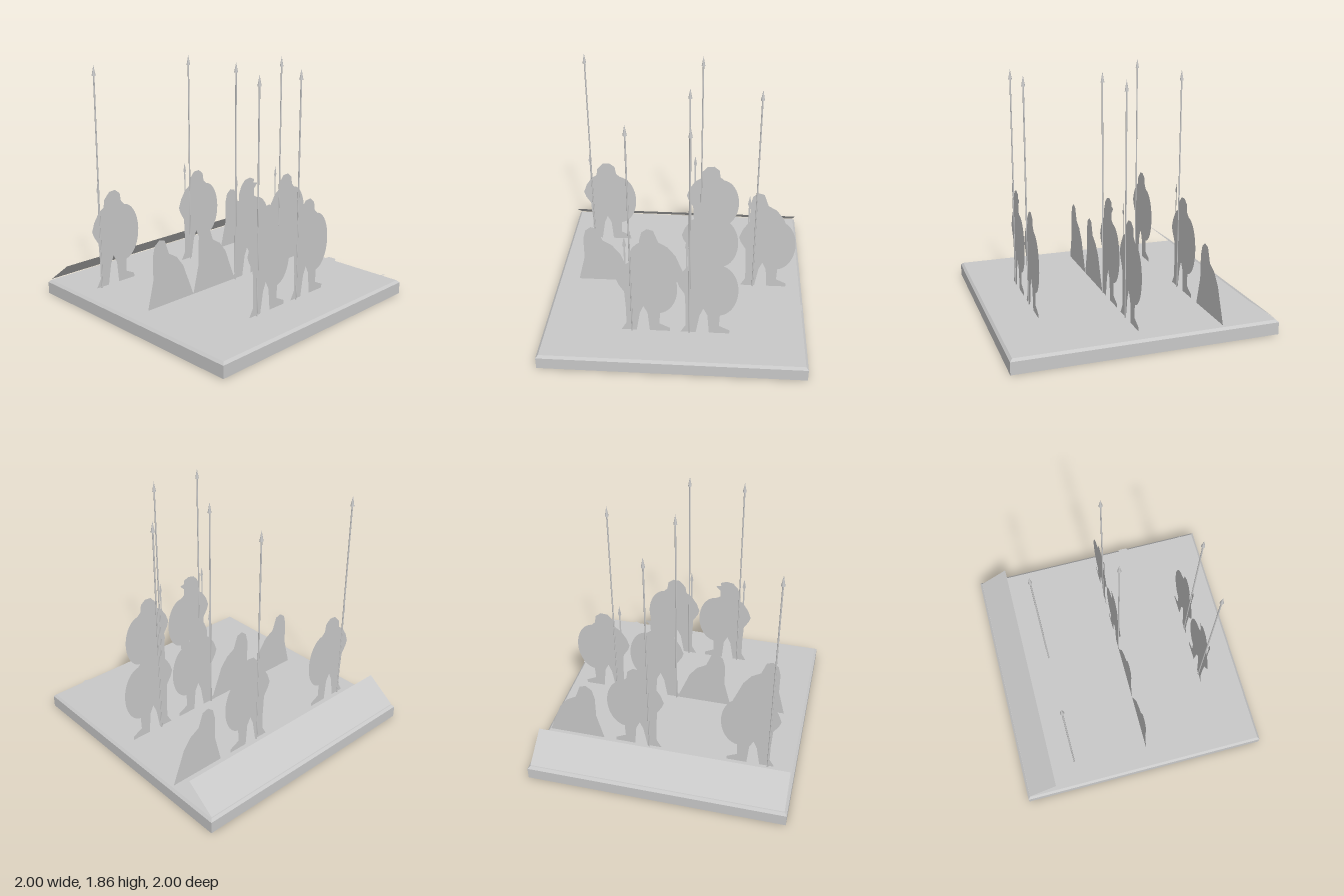
import * as THREE from 'three';

const stone = new THREE.MeshStandardMaterial({ color: 0xc8c8c8, side: THREE.DoubleSide });
stone.name = 'light grey';

function add(parent, name, geometry, x = 0, y = 0, z = 0) {
  const mesh = new THREE.Mesh(geometry, stone);
  mesh.name = name;
  mesh.position.set(x, y, z);
  parent.add(mesh);
}

function group(parent, name, x, z) {
  const part = new THREE.Group();
  part.name = name;
  part.position.set(x, 0, z);
  parent.add(part);
  return part;
}

// Flat cut-out from x, y pairs in hundredths of a unit
function cutout(...xy) {
  const shape = new THREE.Shape();
  for (let i = 0; i < xy.length; i += 2) {
    if (i === 0) shape.moveTo(xy[0] / 100, xy[1] / 100);
    else shape.lineTo(xy[i] / 100, xy[i + 1] / 100);
  }
  return new THREE.ShapeGeometry(shape);
}

// Heads: plain round helmet or crested helmet with a peak
const heads = {
  round: cutout(-11, 75, -10, 82, -5, 87.5, 0.5, 88, 5, 84.5, 6, 78, 10, 74),
  crested: cutout(-13, 75, -12.5, 82, -10, 88, -6, 92, -0.5, 93, 4.5, 91, 4, 88, 8.5, 87, 4.5, 83, 4.5, 77.5, 9, 74),
};

// Standing soldier: torso with bent arm, oval shield, striding legs, held spear
function addStandingSoldier(model, head, x, z) {
  const soldier = group(model, 'standingSoldier', x, z);
  add(soldier, 'head', heads[head]);
  add(soldier, 'torso', cutout(-16, 29, -17, 48, -21, 54.5, -22.5, 59, -20, 66, -15.5, 73, -11, 76,
    8, 75.5, 8, 29, 0, 29, -3, 35, -5.5, 29));
  const oval = new THREE.Shape().absellipse(0.08, 0.52, 0.145, 0.23, 0, Math.PI * 2);
  add(soldier, 'shield', new THREE.ShapeGeometry(oval, 24));
  add(soldier, 'rightLeg', cutout(-16, 30, -16, 19, -20, 12, -8.5, 12, -5.5, 30));
  add(soldier, 'leftLeg', cutout(0, 30, 1.5, 12, 17, 12, 17, 15, 9, 19, 9.5, 30));
  add(soldier, 'heldSpear', cutout(-0.7, 12, -0.6, 88, -1.4, 90, 0, 97.5, 1.4, 90, 0.6, 88, 0.7, 12), -0.155);
}

// Kneeling soldier behind a sloping shield
function addKneelingSoldier(model, x, z) {
  const soldier = group(model, 'kneelingSoldier', x, z);
  add(soldier, 'kneelingBody', cutout(-18, 12, -12.5, 34, -12.5, 52, -10.5, 60, -6, 63.5, -1, 62,
    3, 51, 10.5, 46.5, 17, 38, 20, 30, 24, 20, 27, 12));
}

// Tall pike with a cone head
function addPike(model, x, z) {
  const pike = group(model, 'pike', x, z);
  add(pike, 'pikeShaft', new THREE.CylinderGeometry(0.006, 0.006, 1.68, 8), 0, 0.95, 0);
  add(pike, 'pikeHead', new THREE.ConeGeometry(0.015, 0.08, 8), 0, 1.82, 0);
}

// Cut-out lying on the base, x to the side and outline y towards the back
function lay(model, name, geometry) {
  geometry.rotateX(-Math.PI / 2);
  add(model, name, geometry, 0, 0.128, 0);
}

export function createModel() {
  const model = new THREE.Group();
  model.name = 'soldierDiorama';

  // Base slab with a small chamfer around its top
  add(model, 'baseSlab', new THREE.BoxGeometry(2, 0.094, 2), 0, 0.047, 0);
  const chamfer = new THREE.CylinderGeometry(0.982 * Math.SQRT2, Math.SQRT2, 0.018, 4, 1).toNonIndexed();
  chamfer.rotateY(Math.PI / 4);
  chamfer.computeVertexNormals();
  add(model, 'baseChamfer', chamfer, 0, 0.103, 0);

  // Thin panel rising from the back edge towards the front
  const panel = new THREE.PlaneGeometry(1.96, Math.hypot(0.23, 0.17));
  panel.rotateX(Math.atan2(0.23, 0.17));
  add(model, 'slopingPanel', panel, 0, 0.205, -0.865);

  // Three ranks of upright soldiers
  addStandingSoldier(model, 'round', -0.64, -0.56);
  addStandingSoldier(model, 'round', 0.25, -0.56);
  addKneelingSoldier(model, 0.7, -0.56);
  addKneelingSoldier(model, -0.65, 0.05);
  addKneelingSoldier(model, -0.2, 0.05);
  addStandingSoldier(model, 'crested', 0.245, 0.05);
  addStandingSoldier(model, 'round', 0.7, 0.05);
  addStandingSoldier(model, 'crested', -0.2, 0.66);
  addStandingSoldier(model, 'round', 0.25, 0.66);

  // Pikes, two to each rank
  for (const [z, ...xs] of [[-0.56, -0.79, 0.15], [0.05, 0.08, 0.6], [0.66, -0.32, 0.115]]) {
    for (const x of xs) addPike(model, x, z);
  }

  // Fallen soldiers with their dropped spears
  lay(model, 'fallenSoldierFrontRight', cutout(-80, -23, -69, -21, -66, -29, -57, -17, -49, -17, -62, -42,
    -49, -36, -41, -36, -41, -42, -65, -72, -69, -80, -65, -86, -67, -93, -81, -94, -89, -93,
    -91, -86, -86, -78, -89, -70, -84, -35));
  lay(model, 'fallenSoldierFrontLeft', cutout(35, -27, 43, -25, 62, -25, 80, -17, 80, -23, 66, -35, 75, -36,
    83, -29, 99, -29, 99, -36, 89, -42, 70, -44, 80, -51, 81, -64, 89, -63, 94, -70, 80, -79,
    77, -94, 70, -98, 62, -94, 51, -80, 54, -72, 47, -53, 37, -35));
  lay(model, 'fallenSoldierBack', cutout(-40, 95, -42, 75, -40, 67, -44, 51, -39, 41, -43, 32, -37, 27,
    -30, 28, -30, 32, -22, 32, -21, 48, -13, 64, -9, 95, -18, 95, -25, 84, -31, 95));
  lay(model, 'droppedSpearFrontRight', cutout(-45, -55, -47, -58, -63, -97, -60, -88, -49, -60));
  lay(model, 'droppedSpearFrontLeft', cutout(79, -79, 98, -86, 98, -87.5, 88, -84));
  lay(model, 'droppedSpearBack', cutout(-20, 35, -17, 36, -3, 75, 3, 95, 1, 95, -5, 75));
  lay(model, 'looseFragment', cutout(-15, 16, -13.5, 18, -11, 18.5, -9, 18, -7.5, 16));

  return model;
}
